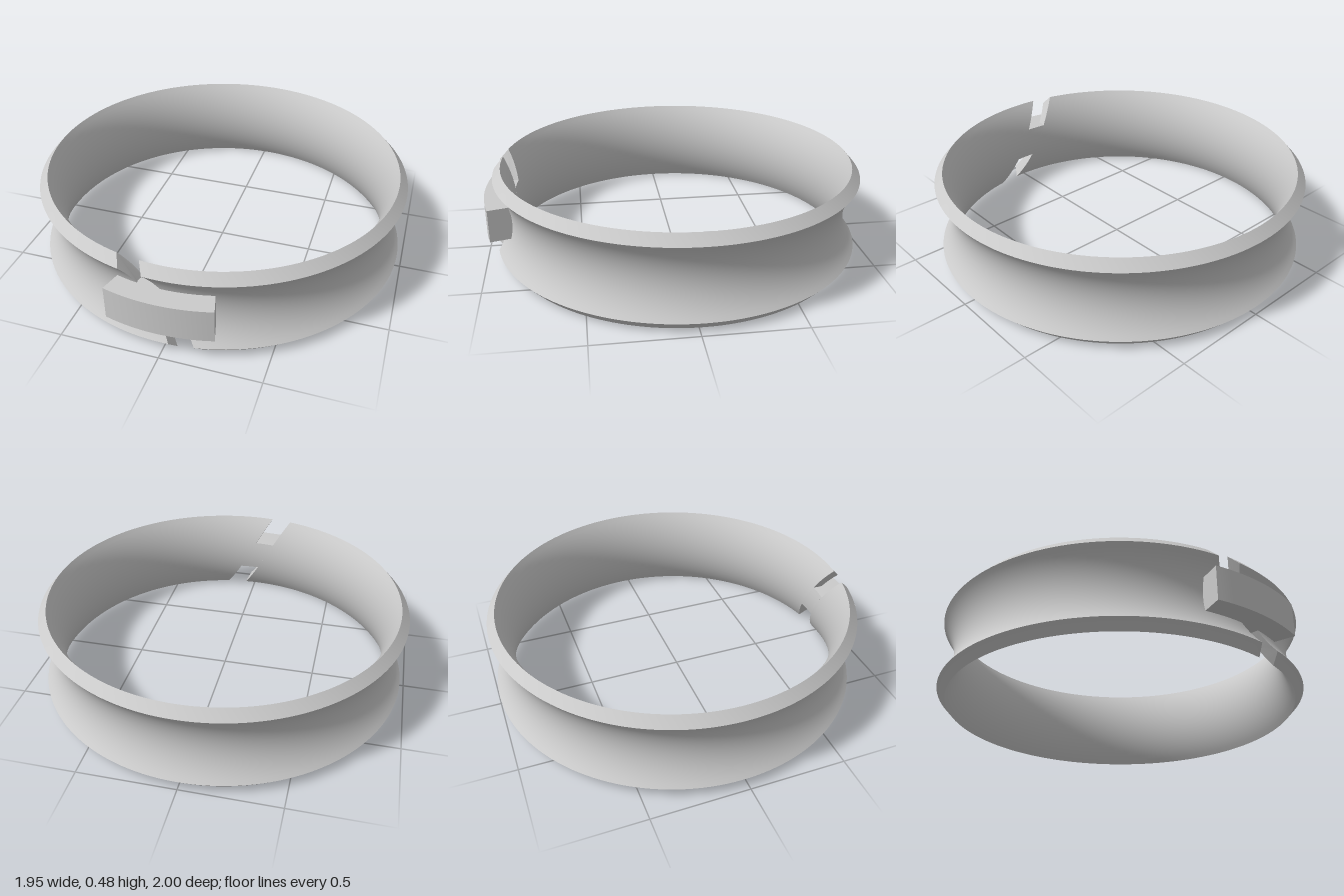
import * as THREE from 'three';
import { toCreasedNormals } from 'three/addons/utils/BufferGeometryUtils.js';

const MID = 0.24;   // mid height of the ring
const GAP = 0.126;  // angular width of the slanted slit
const CENTER_Z = -0.025;

// Concave wall radii and the slanted slit's angle at a given height
const arc = (base, R, y) => base + R - Math.sqrt(R * R - (y - MID) ** 2);
const outerR = (y) => arc(0.905, 0.293, y);
const innerR = (y) => arc(0.855, 0.42, y);
const slitAngle = (y) => -0.0245 - 0.631 * (y - MID);

// Points [radius, y] along a wall between two heights
function wall(radius, y0, y1, n) {
  return Array.from({ length: n + 1 }, (_, i) => {
    const y = y0 + ((y1 - y0) * i) / n;
    return new THREE.Vector2(radius(y), y);
  });
}

// Sweeps a counterclockwise (radius, y) profile around the ring axis, with capped ends
function sweep(profile, startAngle, span, segments) {
  const n = profile.length;
  const pos = [];
  const index = [];
  for (let i = 0; i <= segments; i++) {
    for (const p of profile) {
      const a = startAngle(p.y) + (span * i) / segments;
      pos.push(p.x * Math.sin(a), p.y, p.x * Math.cos(a) + CENTER_Z);
    }
  }
  for (let i = 0; i < segments; i++) {
    for (let j = 0; j < n; j++) {
      const k = (j + 1) % n;
      const a = i * n + j, b = a + n, c = i * n + k, d = c + n;
      index.push(a, b, c, b, d, c);
    }
  }
  const last = segments * n;
  for (const [a, b, c] of THREE.ShapeUtils.triangulateShape(profile, [])) {
    index.push(a, b, c, last + a, last + c, last + b);
  }
  const geometry = new THREE.BufferGeometry();
  geometry.setAttribute('position', new THREE.Float32BufferAttribute(pos, 3));
  geometry.setIndex(index);
  return toCreasedNormals(geometry, 0.5);
}

export function createModel() {
  const group = new THREE.Group();
  const material = new THREE.MeshStandardMaterial({ color: 0xcccccc });
  const add = (name, geometry) => {
    const mesh = new THREE.Mesh(geometry, material);
    mesh.name = name;
    group.add(mesh);
  };

  // Open ring with flared, bevelled rims
  const ringProfile = [
    ...wall(outerR, 0.05, 0.43, 20),
    ...wall(innerR, 0.48, 0, 20),
  ];
  add('ring', sweep(ringProfile, (y) => slitAngle(y) + GAP / 2, Math.PI * 2 - GAP, 160));

  // Middle of the slit, closed behind the clasp
  const bridgeProfile = [
    ...wall(outerR, 0.155, 0.33, 8),
    ...wall(innerR, 0.33, 0.155, 8),
  ];
  add('slitBridge', sweep(bridgeProfile, (y) => slitAngle(y) - GAP / 2, GAP, 4));

  // Curved clasp block on the front
  const claspProfile = [[0.885, 0.155], [1.025, 0.155], [1.025, 0.33], [0.885, 0.33]]
    .map(([r, y]) => new THREE.Vector2(r, y));
  add('clasp', sweep(claspProfile, () => -0.2615, 0.523, 20));

  return group;
}
